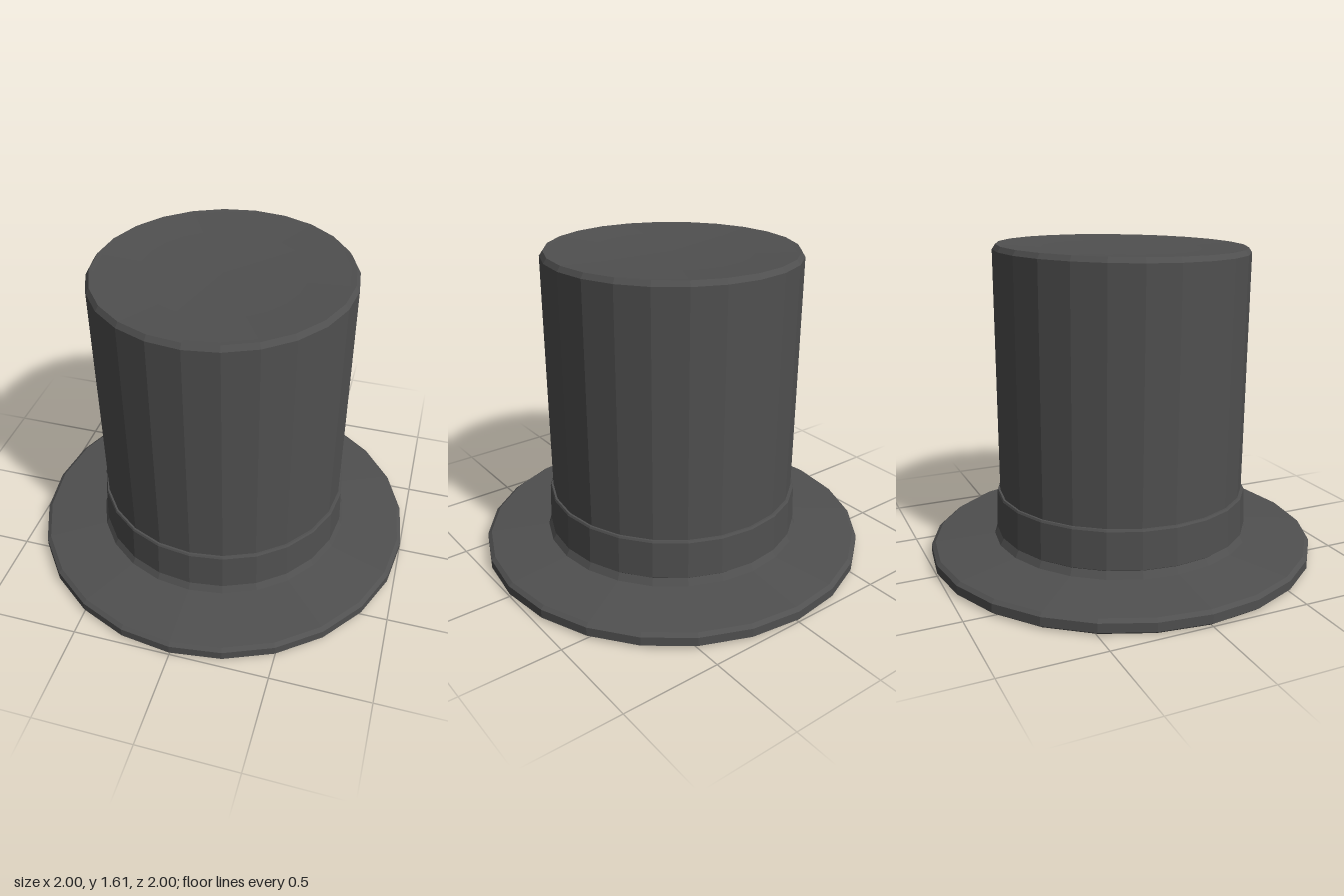
import * as THREE from 'three';

const SIDES = 24;

// Turn a profile of [radius, height] points into a faceted part
function turned(name, profile, material) {
  const points = profile.map(([r, y]) => new THREE.Vector2(r, y));
  const mesh = new THREE.Mesh(new THREE.LatheGeometry(points, SIDES), material);
  mesh.name = name;
  return mesh;
}

// Lean the upper part slightly, more towards the top
function lean(geometry) {
  const p = geometry.attributes.position;
  for (let i = 0; i < p.count; i++) {
    const x = p.getX(i), y = p.getY(i), z = p.getZ(i);
    const t = Math.max(0, (y - 0.34) / 1.26);
    p.setXYZ(i, x - 0.006 * t, y + 0.012 * (x - z) * t, z + 0.006 * t);
  }
  geometry.computeVertexNormals();
}

export function createModel() {
  const group = new THREE.Group();
  group.name = 'topHat';
  const felt = new THREE.MeshStandardMaterial({
    color: 0x505050, flatShading: true, side: THREE.DoubleSide,
  });

  // Brim: bevelled opening, flat underside, rounded rim and sloping top
  group.add(turned('brim', [
    [0.60, 0.07], [0.655, 0.005], [0.98, 0], [1, 0.015], [1, 0.06],
    [0.98, 0.075], [0.67, 0.105], [0.65, 0.14],
  ], felt));

  // Band around the foot of the crown
  group.add(turned('band', [
    [0.64, 0.14], [0.656, 0.145], [0.65, 0.335], [0.645, 0.345], [0.635, 0.345],
  ], felt));

  // Crown: hollow inside, slightly flared wall, bevelled edge and dished top
  const crown = turned('crown', [
    [0, 1.53], [0.6, 1.55], [0.6, 0.07],
  ].concat([
    [0.63, 0.14], [0.635, 0.34], [0.642, 1.575], [0.625, 1.6],
    [0.6, 1.598], [0.4, 1.587], [0, 1.582],
  ]), felt);
  lean(crown.geometry);
  group.add(crown);

  return group;
}
